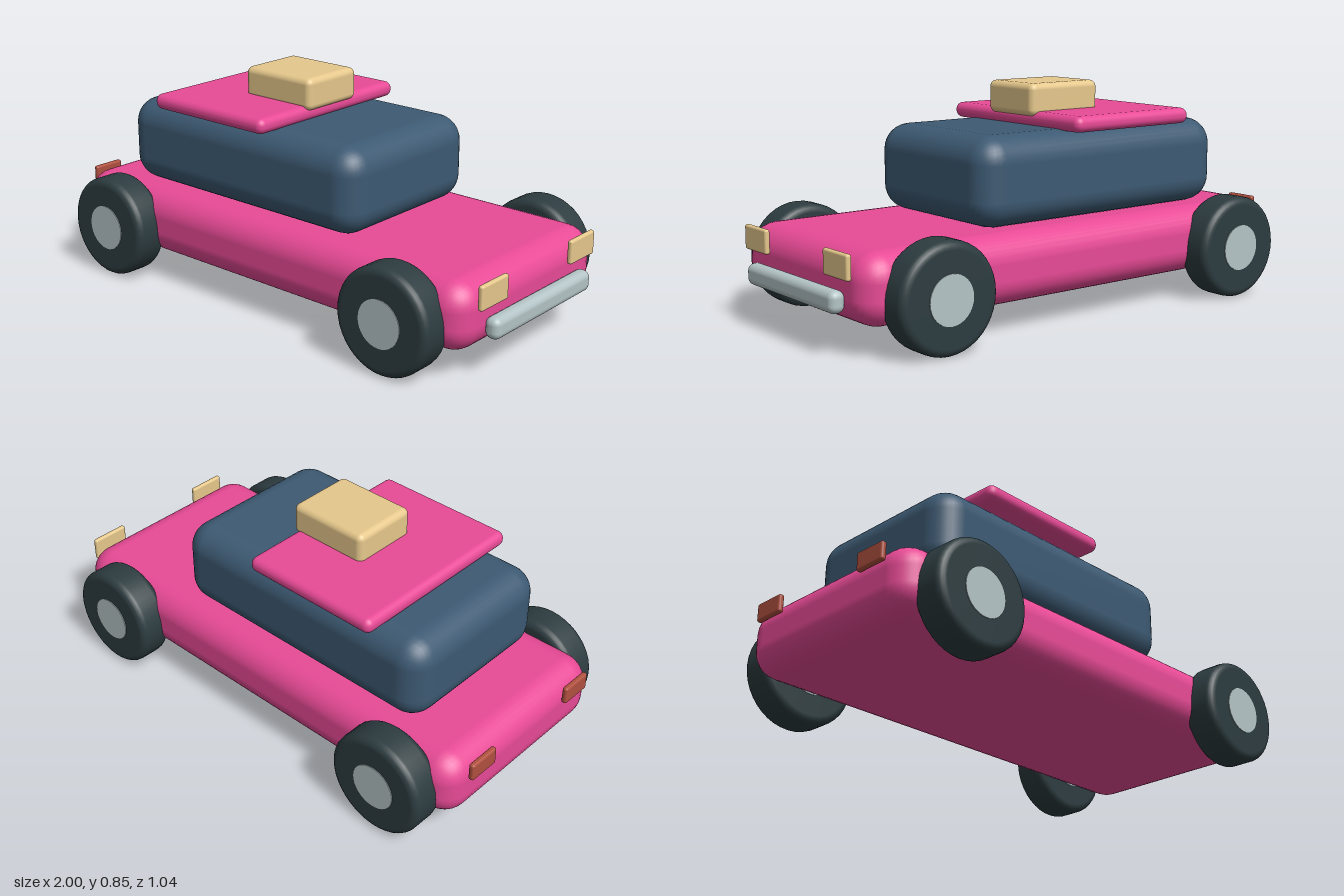
import * as THREE from 'three';
import { RoundedBoxGeometry } from 'three/addons/geometries/RoundedBoxGeometry.js';

const paint = (color) => new THREE.MeshStandardMaterial({ color });
const pink = paint(0xe84a96);
const blue = paint(0x3d5a73);
const rubber = paint(0x2d3c40);
const metal = paint(0xb4c4c6);
const tan = paint(0xe6c88c);
const red = paint(0xb0503f);

// Rounded box given by its extents along each axis
function block(name, [x0, x1], [y0, y1], [z0, z1], radius, material) {
  const geometry = new RoundedBoxGeometry(x1 - x0, y1 - y0, z1 - z0, 4, radius);
  const mesh = new THREE.Mesh(geometry, material);
  mesh.position.set((x0 + x1) / 2, (y0 + y1) / 2, (z0 + z1) / 2);
  mesh.name = name;
  return mesh;
}

// Tyre with rounded shoulders and a hub disc through the middle
function wheel(name, x, side) {
  const group = new THREE.Group();
  const R = 0.198, half = 0.068, r = 0.03;
  const profile = [new THREE.Vector2(0, -half)];
  for (const end of [-1, 1]) {
    for (let i = 0; i <= 5; i++) {
      const a = (end < 0 ? i - 5 : i) * Math.PI / 10;
      profile.push(new THREE.Vector2(R - r + r * Math.cos(a), end * (half - r) + r * Math.sin(a)));
    }
  }
  profile.push(new THREE.Vector2(0, half));
  const tyre = new THREE.Mesh(new THREE.LatheGeometry(profile, 40), rubber);
  tyre.name = 'tyre';
  const hub = new THREE.Mesh(new THREE.CylinderGeometry(0.089, 0.089, 0.142, 32), metal);
  hub.name = 'hub';
  group.add(tyre, hub);
  group.rotation.x = Math.PI / 2;
  group.position.set(x, 0.198, side * 0.45);
  group.name = name;
  return group;
}

export function createModel() {
  const car = new THREE.Group();
  car.name = 'car';

  // Body, cabin, roof panel and roof box
  car.add(
    block('body', [-0.975, 0.945], [0.1, 0.36], [-0.425, 0.425], 0.1, pink),
    block('cabin', [-0.755, 0.41], [0.36, 0.692], [-0.35, 0.35], 0.1, blue),
    block('roofPanel', [-0.56, 0.01], [0.685, 0.745], [-0.38, 0.38], 0.028, pink),
    block('roofBox', [-0.305, 0.025], [0.726, 0.85], [-0.135, 0.135], 0.025, tan),
    block('bumper', [0.94, 1], [0.15, 0.23], [-0.297, 0.297], 0.027, metal),
  );

  // Lamps and wheels on both sides
  for (const side of [-1, 1]) {
    const label = side > 0 ? 'Near' : 'Far';
    const span = (a, b) => (side > 0 ? [a, b] : [-b, -a]);
    car.add(
      block('headlamp' + label, [0.951, 0.972], [0.27, 0.361], span(0.195, 0.35), 0.009, tan),
      block('tailLamp' + label, [-1, -0.978], [0.28, 0.35], span(0.205, 0.335), 0.009, red),
      wheel('frontWheel' + label, 0.675, side),
      wheel('rearWheel' + label, -0.715, side),
    );
  }
  return car;
}
